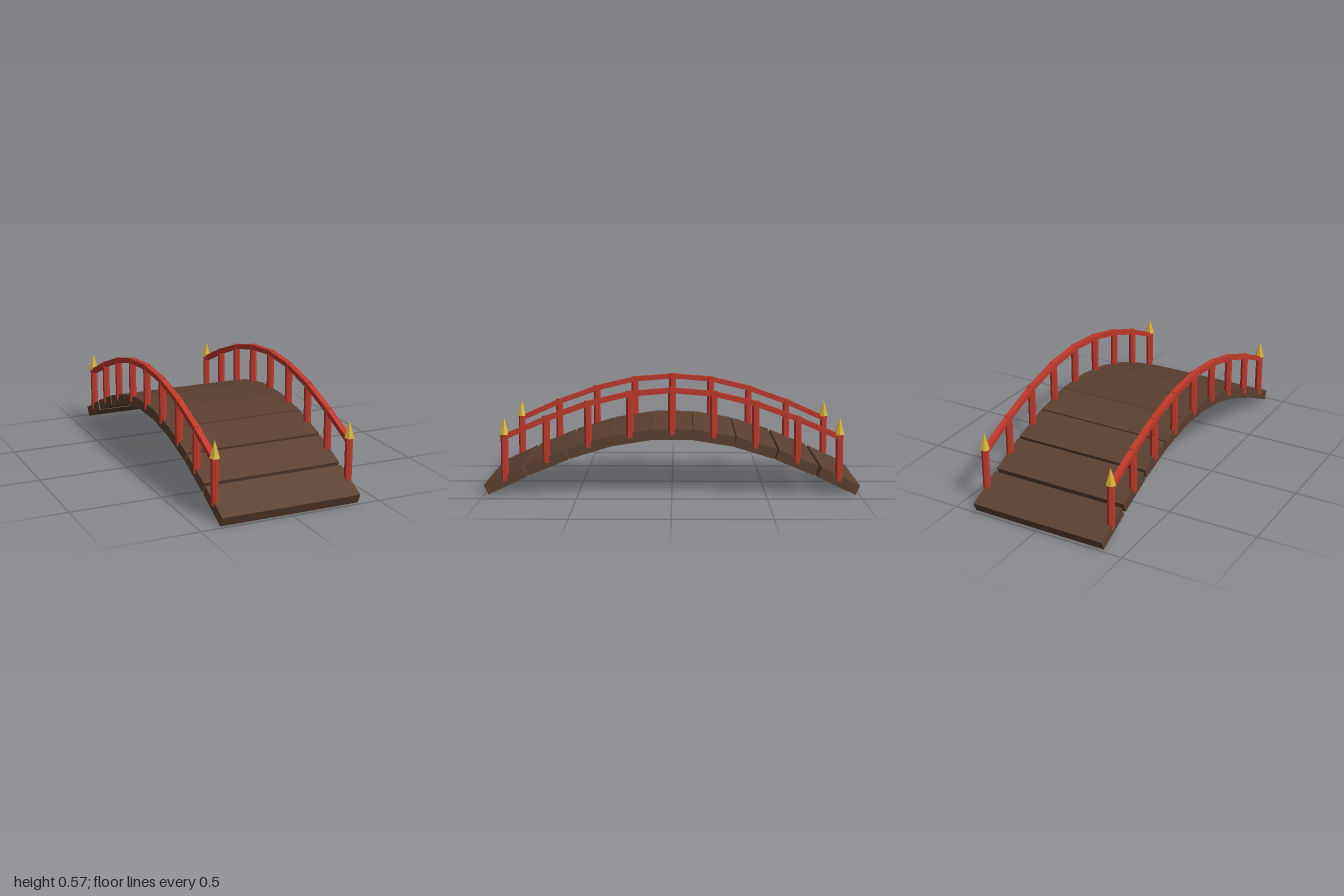
import * as THREE from 'three';

const STEP = 0.222;       // spacing of planks and posts along z
const RAIL_X = 0.376;     // distance of each railing from the centre line
const POST_H = 0.25;
const archY = z => 0.0205 + 0.3025 * Math.cos(z * Math.PI / 2);
const archSlope = z => -0.3025 * Math.PI / 2 * Math.sin(z * Math.PI / 2);

export function createModel() {
  const bridge = new THREE.Group();
  bridge.name = 'archedFootbridge';

  const material = color => {
    const m = new THREE.MeshStandardMaterial({ flatShading: true });
    m.color.set(color);
    return m;
  };
  const wood = material(0x5c4030);
  const red = material(0xc0392b);
  const gold = material(0xd4af37);

  const add = (parent, name, geometry, mat, x, y, z, tilt = 0) => {
    const mesh = new THREE.Mesh(geometry, mat);
    mesh.name = name;
    mesh.position.set(x, y, z);
    mesh.rotation.x = tilt;
    parent.add(mesh);
  };

  // Deck: nine planks, each tilted to follow the arch
  const deck = new THREE.Group();
  deck.name = 'deck';
  bridge.add(deck);
  const plank = new THREE.BoxGeometry(0.772, 0.056, 0.224);
  for (let i = -4; i <= 4; i++) {
    const z = i * STEP;
    add(deck, 'plank', plank, wood, 0, archY(z), z, -Math.atan(archSlope(z)));
  }

  // Railings: six-sided posts, straight rail lengths and pointed end caps
  const post = new THREE.CylinderGeometry(0.02, 0.02, POST_H, 6);
  const cap = new THREE.ConeGeometry(0.028, 0.094, 6).rotateY(Math.PI / 6);
  for (const side of [-1, 1]) {
    const railing = new THREE.Group();
    railing.name = side > 0 ? 'leftRailing' : 'rightRailing';
    bridge.add(railing);
    const x = side * RAIL_X;

    for (let i = -4; i <= 4; i++) {
      const z = i * STEP;
      const y = archY(z);
      add(railing, 'post', post, red, x, y + POST_H / 2, z);
      if (Math.abs(i) === 4) add(railing, 'postCap', cap, gold, x, y + POST_H + 0.047, z);

      // Rail length from this post to the next
      if (i < 4) {
        const rise = archY(z + STEP) - y;
        const rail = new THREE.BoxGeometry(0.03, 0.028, Math.hypot(STEP, rise));
        add(railing, 'handrail', rail, red, x, y + rise / 2 + 0.236, z + STEP / 2, -Math.atan2(rise, STEP));
      }
    }
  }
  return bridge;
}
